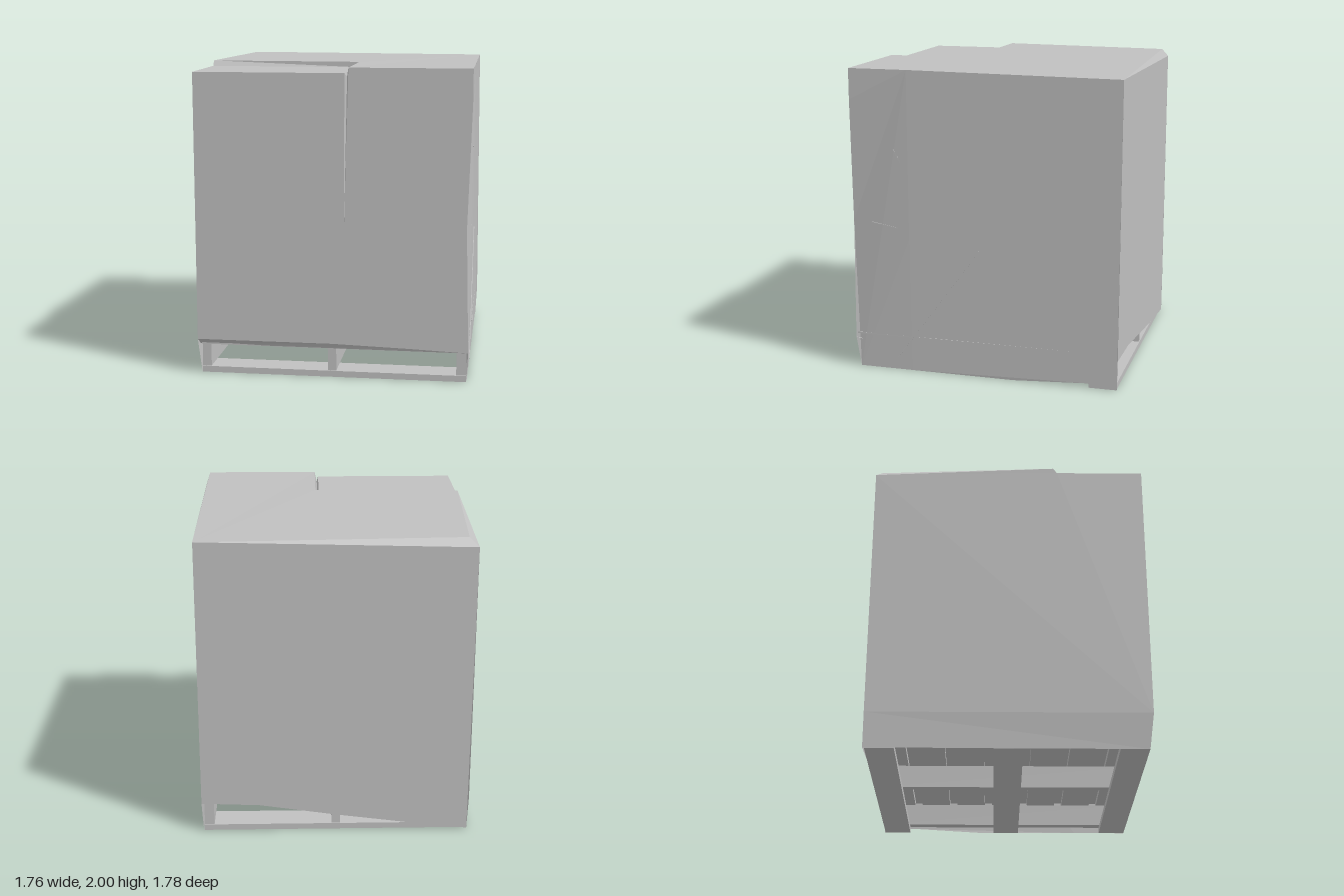
import * as THREE from 'three';

const grey = new THREE.MeshStandardMaterial({ color: 0xc0c0c0, side: THREE.DoubleSide });
grey.name = 'wrap grey';

export function createModel() {
  const model = new THREE.Group();
  model.name = 'wrappedPalletLoad';

  function add(name, geometry, parent = model) {
    const mesh = new THREE.Mesh(geometry, grey);
    mesh.name = name;
    parent.add(mesh);
    return mesh;
  }

  // Sheet from an outline of 3D points, triangulated across the two given axes
  function sheet(name, u, v, pts) {
    const flat = pts.map(p => new THREE.Vector2(p[u], p[v]));
    const g = new THREE.BufferGeometry();
    g.setAttribute('position', new THREE.Float32BufferAttribute(pts.flat(), 3));
    g.setIndex(THREE.ShapeUtils.triangulateShape(flat, []).flat());
    const faceted = g.toNonIndexed();
    faceted.computeVertexNormals();
    return add(name, faceted);
  }

  function box(name, x0, x1, y0, y1, z0, z1, parent) {
    const m = add(name, new THREE.BoxGeometry(x1 - x0, y1 - y0, z1 - z0), parent);
    m.position.set((x0 + x1) / 2, (y0 + y1) / 2, (z0 + z1) / 2);
  }

  // Shared corners of the wrap
  const backLowCorner = [-0.88, 1.94, -0.885];
  const topBackCut = [-0.82, 1.995, -0.85];
  const backHighCorner = [0.87, 1.985, -0.89];
  const stepOuter = [-0.88, 2, 0.3];
  const stepInner = [0.11, 2, 0.33];
  const topFront = [0.88, 2, 0.89];
  const slitRight = [0.11, 2, 0.89];
  const slitLeft = [0.085, 1.965, 0.89];
  const slitTip = [0.08, 0.9, 0.89];
  const slitDeep = [0.095, 1.94, 0.84];

  // Top: L-shaped high area, sunken front quarter and the step between them
  sheet('topSheet', 0, 2, [topBackCut, stepOuter, stepInner, slitRight, topFront, backHighCorner]);
  sheet('cornerFoldSide', 0, 2, [backLowCorner, stepOuter, topBackCut]);
  sheet('cornerFoldBack', 0, 2, [backLowCorner, topBackCut, backHighCorner]);
  sheet('sunkenTop', 0, 2, [[-0.88, 1.965, 0.325], [-0.88, 1.965, 0.89], slitLeft, [0.085, 1.965, 0.33]]);
  sheet('stepRear', 0, 1, [stepOuter, [-0.88, 1.965, 0.325], [0.085, 1.965, 0.33], stepInner]);
  sheet('stepSide', 2, 1, [[0.095, 1.94, 0.33], slitDeep, slitRight, stepInner]);
  sheet('grooveFloor', 0, 2, [[0.085, 1.965, 0.33], slitLeft, slitDeep, [0.095, 1.94, 0.33]]);

  // Front, with a tapering slit where the cartons part
  const frontHem = [[-0.88, 0.23, 0.89], [0, 0.23, 0.89], [0.5, 0.215, 0.89], [0.875, 0.2, 0.89]];
  sheet('frontSheet', 0, 1, [...frontHem, [0.855, 1, 0.89], [0.88, 1.8, 0.89], topFront,
    slitRight, [0.095, 1.5, 0.89], slitTip, slitLeft, [-0.88, 1.965, 0.89]]);
  sheet('slitLeftWall', 2, 1, [slitLeft, slitTip, slitDeep]);
  sheet('slitRightWall', 2, 1, [slitRight, [0.095, 1.5, 0.89], slitTip, slitDeep]);
  sheet('frontHemTuck', 0, 2, [...frontHem, [0.87, 0.19, 0.85], [-0.87, 0.19, 0.85]]);

  // Right-hand face: a dented front strip and the flat remainder
  sheet('sideSheetFront', 2, 1, [[0.88, 2, 0.5], [0.88, 0.9, 0.5], [0.866, 0, 0.5], [0.866, 0, 0.86],
    [0.875, 0.2, 0.89], [0.855, 1, 0.89], [0.88, 1.8, 0.89], topFront]);
  sheet('sideSheet', 2, 1, [[0.88, 2, 0.5], [0.88, 0.9, 0.5], [0.866, 0, 0.5], [0.866, 0, -0.2],
    [0.87, 0.03, -0.68], [0.87, 0, -0.88], [0.88, 0.2, -0.885], backHighCorner]);

  // Opposite face, drawn in slightly round the pallet
  sheet('farSideSheet', 2, 1, [stepOuter, [-0.88, 1.965, 0.325], [-0.88, 1.965, 0.89], [-0.88, 0.23, 0.89],
    [-0.88, 0.23, -0.885], backLowCorner]);
  sheet('farSideSkirt', 2, 1, [[-0.88, 0.23, 0.89], [-0.86, 0, 0.86], [-0.87, 0, -0.885], [-0.88, 0.23, -0.885]]);

  // Back, its hem falling towards one corner
  sheet('backSheet', 0, 1, [backLowCorner, [-0.87, 0, -0.885], [-0.6, 0.03, -0.885], [0, 0.11, -0.885],
    [0.5, 0.185, -0.885], [0.88, 0.2, -0.885], backHighCorner]);

  // Thin folds in the side wrap: start z,y and end z,y
  const folds = [[0.6, 1.49, 0.46, 1.24], [0.76, 1, 0.58, 0.97], [0.6, 0.08, 0.03, 0.85], [0.14, 0.21, 0.03, 0.22]];
  for (const [z0, y0, z1, y1] of folds) {
    const fold = add('wrapFold', new THREE.BoxGeometry(0.004, 0.005, Math.hypot(z1 - z0, y1 - y0)));
    const x = y0 < 0.5 ? 0.874 : 0.876;
    fold.position.set(x, (y0 + y1) / 2, (z0 + z1) / 2);
    fold.lookAt(x, y1, z1);
  }

  // Pallet: deck boards, three stringers and three bottom boards
  const pallet = new THREE.Group();
  pallet.name = 'pallet';
  model.add(pallet);
  box('loadBase', -0.87, 0.87, 0.225, 0.235, -0.88, 0.88, pallet);
  for (let i = 0; i < 7; i++) {
    const z = -0.76 + i * 0.2533;
    box('deckBoard', -0.86, 0.86, 0.19, 0.225, z - 0.1, z + 0.1, pallet);
  }
  for (const [x0, x1] of [[-0.858, -0.8], [-0.03, 0.025], [0.8, 0.863]])
    box('stringer', x0, x1, 0.04, 0.19, -0.87, 0.85, pallet);
  for (const z of [-0.785, 0, 0.77])
    box('bottomBoard', -0.858, 0.864, 0, 0.04, z - 0.09, z + 0.09, pallet);

  return model;
}
